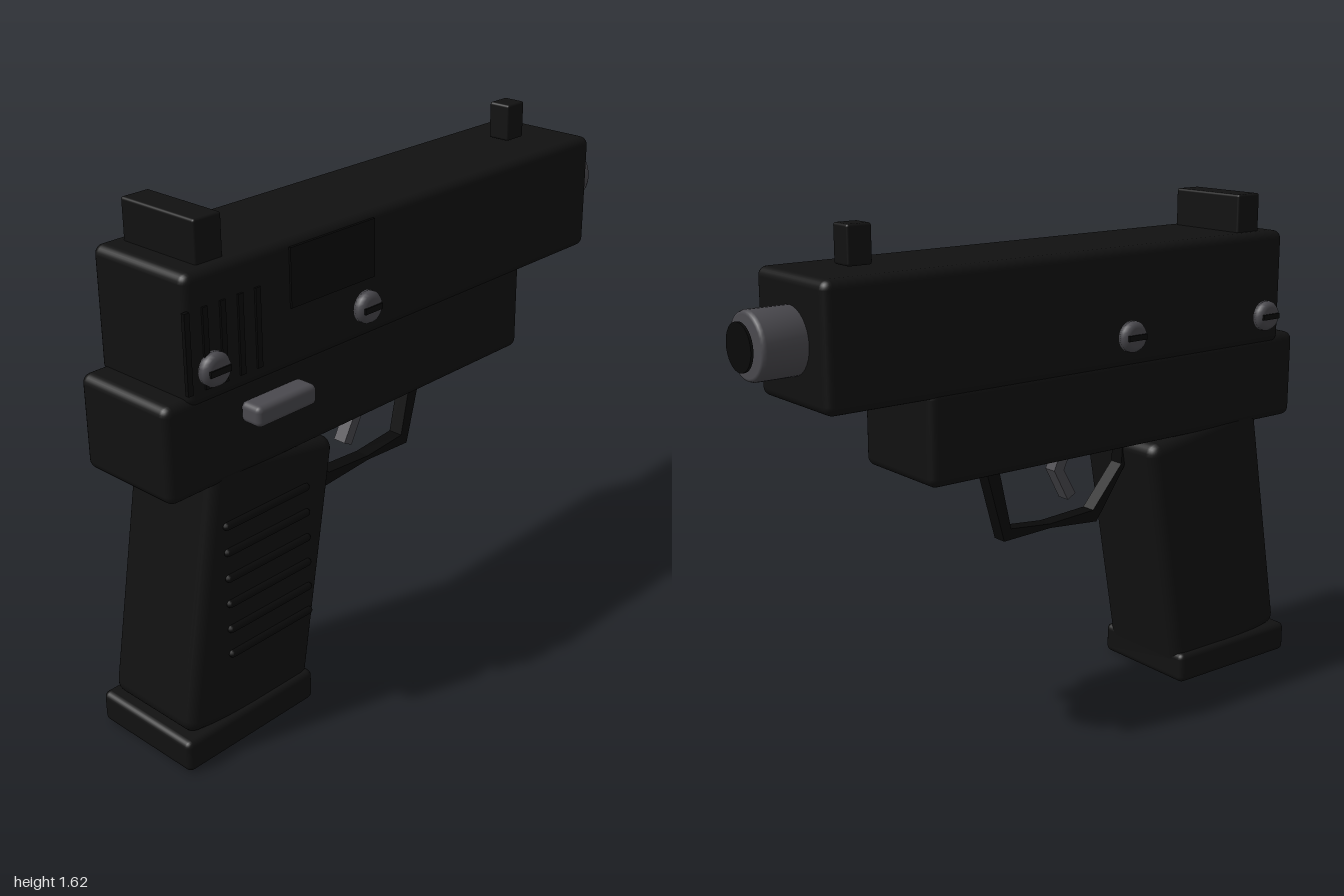
import * as THREE from 'three';
import { RoundedBoxGeometry } from 'three/addons/geometries/RoundedBoxGeometry.js';

const mat = (name, color) => {
  const m = new THREE.MeshStandardMaterial({ color });
  m.name = name;
  return m;
};

export function createModel() {
  const model = new THREE.Group();
  const body = mat('black polymer', 0x111111);
  const steel = mat('dark steel', 0x4a494e);
  const black = mat('deep black', 0x090909);
  const CX = -0.015; // centre plane of the body

  const add = (name, geometry, material, parent = model) => {
    const mesh = new THREE.Mesh(geometry, material);
    mesh.name = name;
    parent.add(mesh);
    return mesh;
  };

  // Box from its limits, with rounded edges when r > 0
  const box = (name, material, [x0, x1], [y0, y1], [z0, z1], r = 0) => {
    const s = [x1 - x0, y1 - y0, z1 - z0];
    const g = r ? new RoundedBoxGeometry(...s, 3, r) : new THREE.BoxGeometry(...s);
    const mesh = add(name, g, material);
    mesh.position.set((x0 + x1) / 2, (y0 + y1) / 2, (z0 + z1) / 2);
    return mesh;
  };

  // Side outline given as [z, y] points, extruded across x
  const sidePlate = (name, material, points, width) => {
    const shape = new THREE.Shape(points.map(([z, y]) => new THREE.Vector2(-z, y)));
    const g = new THREE.ExtrudeGeometry(shape, { depth: width, bevelEnabled: false });
    g.translate(0, 0, -width / 2).rotateY(Math.PI / 2);
    const mesh = add(name, g, material);
    mesh.position.x = CX;
    return mesh;
  };

  // Main body
  box('slide', body, [-0.202, 0.172], [1.13, 1.503], [-0.84, 0.915], 0.028);
  box('frame', body, [-0.195, 0.164], [0.866, 1.155], [-0.5, 0.995], 0.028);
  box('basePlate', body, [-0.21, 0.18], [0.003, 0.105], [0.495, 1], 0.02);

  // Raked grip
  const grip = box('grip', body, [-0.192, 0.162], [0.06, 0.895], [0.428, 0.908], 0.04);
  grip.rotation.x = -THREE.MathUtils.degToRad(-10);
  grip.rotation.x *= -1;

  // Grip ribs on the +x side, following the rake
  for (let i = 0; i < 6; i++) {
    const y = 0.735 - i * 0.084;
    const rib = add('gripRib', new THREE.CapsuleGeometry(0.012, 0.31, 3, 8), black);
    rib.rotation.x = Math.PI / 2;
    rib.position.set(0.165, y, 0.65);
  }

  // Sights
  box('rearSight', body, [-0.16, 0.13], [1.49, 1.625], [0.742, 0.838], 0.008);
  box('frontSight', body, [-0.055, 0.022], [1.508, 1.625], [-0.673, -0.592], 0.008);

  // Barrel with softened rim, and bore disc in front of it
  const profile = [[0, 0.7], [0.1, 0.7], [0.1, 0.966], [0.096, 0.976], [0.088, 0.98], [0, 0.98]];
  const barrelGeo = new THREE.LatheGeometry(profile.map((p) => new THREE.Vector2(...p)), 32);
  const barrel = add('barrel', barrelGeo, steel);
  barrel.rotation.x = -Math.PI / 2;
  barrel.position.set(CX, 1.317, 0);
  const bore = add('bore', new THREE.CylinderGeometry(0.07, 0.07, 0.008, 32), black);
  bore.rotation.x = Math.PI / 2;
  bore.position.set(CX, 1.317, -0.996);

  // Ejection port and rear serrations
  box('ejectionPort', black, [0.17, 0.178], [1.31, 1.485], [0.21, 0.545]);
  for (let i = 0; i < 5; i++) {
    const z = 0.917 - i * 0.0625;
    box('serration', black, [0.166, 0.178], [1.175, 1.407], [z - 0.009, z + 0.009]);
  }

  // Slotted screws on both sides
  const screwProfile = [[0, 0], [0.049, 0], [0.049, 0.018], [0.042, 0.029], [0.03, 0.033], [0, 0.033]];
  const screwGeo = new THREE.LatheGeometry(screwProfile.map((p) => new THREE.Vector2(...p)), 24);
  for (const side of [1, -1]) {
    for (const z of [0.835, 0.245]) {
      const screw = new THREE.Group();
      screw.name = 'screw';
      add('screwHead', screwGeo, steel, screw);
      add('screwSlot', new THREE.BoxGeometry(0.018, 0.009, 0.072), black, screw).position.y = 0.033;
      screw.rotation.z = -side * Math.PI / 2;
      screw.position.set(CX + side * 0.186, 1.228, z);
      model.add(screw);
    }
  }

  // Side lever
  box('lever', steel, [0.16, 0.238], [1.03, 1.093], [0.51, 0.735], 0.018);

  // Trigger and guard
  sidePlate('trigger', steel, [
    [0.165, 0.89], [0.118, 0.785], [0.166, 0.7], [0.134, 0.683], [0.078, 0.788], [0.122, 0.89],
  ], 0.045);
  sidePlate('triggerGuard', black, [
    [0.40, 0.81], [0.37, 0.75], [0.255, 0.587], [0.06, 0.603], [-0.125, 0.595], [-0.205, 0.88],
    [-0.155, 0.88], [-0.098, 0.632], [0.06, 0.617], [0.24, 0.628], [0.36, 0.765], [0.365, 0.85], [0.40, 0.85],
  ], 0.05);

  return model;
}
